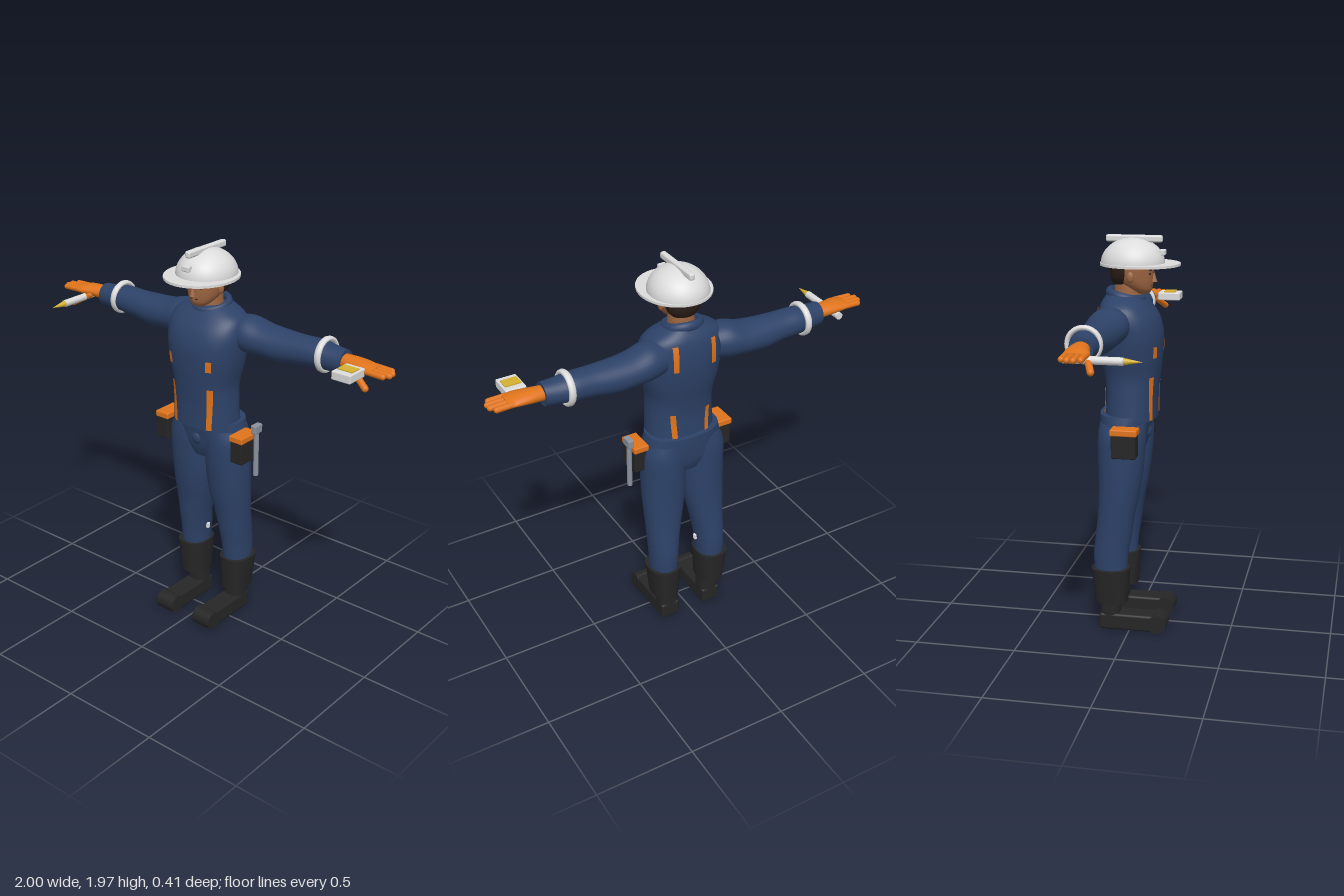
import * as THREE from 'three';
import { RoundedBoxGeometry } from 'three/addons/geometries/RoundedBoxGeometry.js';

const paint = (name, color, side = THREE.FrontSide) => {
  const m = new THREE.MeshStandardMaterial({ color, side });
  m.name = name;
  return m;
};

// Catmull-Rom resampling of cross-section rows [position, centreU, centreV, radiusU, radiusV]
function resample(rows, steps = 5) {
  const out = [];
  const at = (i) => rows[Math.min(Math.max(i, 0), rows.length - 1)];
  for (let i = 0; i < rows.length - 1; i++) {
    for (let s = 0; s < steps; s++) {
      const t = s / steps;
      out.push(rows[i].map((p1, k) => {
        const p0 = at(i - 1)[k], p2 = at(i + 1)[k], p3 = at(i + 2)[k];
        return p1 + 0.5 * t * (p2 - p0 + t * (2 * p0 - 5 * p1 + 4 * p2 - p3 + t * (3 * (p1 - p2) + p3 - p0)));
      }));
    }
  }
  out.push(rows[rows.length - 1]);
  return out;
}

// Closed body through superellipse sections, along y (u = x, v = z) or along x (u = z, v = y)
function loft(rows, { axis = 'y', e = 1, sides = 32, steps = 5 } = {}) {
  const sec = resample(rows, steps), pos = [], idx = [];
  const put = (p, u, v) => (axis === 'y' ? pos.push(u, p, v) : pos.push(p, v, u));
  const pow = (c) => Math.sign(c) * Math.abs(c) ** e;
  const ring = ([p, cu, cv, ru, rv]) => {
    const start = pos.length / 3;
    for (let j = 0; j < sides; j++) {
      const a = (j / sides) * Math.PI * 2;
      put(p, cu + ru * pow(Math.cos(a)), cv + rv * pow(Math.sin(a)));
    }
    return start;
  };
  const starts = sec.map(ring);
  for (let i = 0; i < starts.length - 1; i++) {
    for (let j = 0; j < sides; j++) {
      const k = (j + 1) % sides;
      const a = starts[i] + j, b = starts[i] + k, c = starts[i + 1] + j, d = starts[i + 1] + k;
      idx.push(a, c, b, b, c, d);
    }
  }
  [sec[0], sec[sec.length - 1]].forEach((s, end) => {
    const r = ring(s), c = pos.length / 3;
    put(s[0], s[1], s[2]);
    for (let j = 0; j < sides; j++) {
      const k = (j + 1) % sides;
      if (end) idx.push(c, r + k, r + j);
      else idx.push(c, r + j, r + k);
    }
  });
  const g = new THREE.BufferGeometry();
  g.setAttribute('position', new THREE.Float32BufferAttribute(pos, 3));
  g.setIndex(idx);
  g.computeVertexNormals();
  return g;
}

// Mirror across x = 0, keeping faces outward
function mirrored(geo) {
  const g = geo.clone().scale(-1, 1, 1);
  const ix = g.index ? g.index.array : Uint32Array.from({ length: g.attributes.position.count }, (_, i) => i);
  const out = Array.from(ix);
  for (let i = 0; i < out.length; i += 3) [out[i + 1], out[i + 2]] = [out[i + 2], out[i + 1]];
  g.setIndex(out);
  return g;
}

function capsule(a, b, r) {
  const A = new THREE.Vector3(...a), B = new THREE.Vector3(...b), d = B.clone().sub(A);
  const q = new THREE.Quaternion().setFromUnitVectors(new THREE.Vector3(0, 1, 0), d.clone().normalize());
  const mid = A.add(B).multiplyScalar(0.5);
  return new THREE.CapsuleGeometry(r, d.length(), 6, 12).applyQuaternion(q).translate(mid.x, mid.y, mid.z);
}
const box = (w, h, d, x, y, z, r = 0.006) => new RoundedBoxGeometry(w, h, d, 2, r).translate(x, y, z);
const ball = (rx, ry, rz, x, y, z) => new THREE.SphereGeometry(1, 24, 16).scale(rx, ry, rz).translate(x, y, z);

export function createModel() {
  const root = new THREE.Group();
  root.name = 'worker';
  const navy = paint('navy cloth', 0x2d4268), orange = paint('orange', 0xe0741c);
  const strapOrange = orange;
  strapOrange.side = THREE.DoubleSide;
  const black = paint('black rubber', 0x262626), white = paint('white shell', 0xdcdcdc, THREE.DoubleSide);
  const skin = paint('skin', 0x9c6541), hairDark = paint('dark hair', 0x2a1d16);
  const yellow = paint('yellow', 0xd6b030), steel = paint('steel', 0x8b929e);
  const add = (name, geo, mat) => {
    const m = new THREE.Mesh(geo, mat);
    m.name = name;
    root.add(m);
  };
  const pair = (name, geo, mat) => {
    add(name + 'Left', geo, mat);
    add(name + 'Right', mirrored(geo), mat);
  };

  // Jacket
  const torso = [
    [1.08, 0, -0.015, 0.175, 0.125], [1.2, 0, -0.01, 0.168, 0.124], [1.3, 0, -0.01, 0.166, 0.135],
    [1.4, 0, -0.015, 0.188, 0.15], [1.5, 0, -0.02, 0.203, 0.156], [1.58, 0, -0.03, 0.205, 0.143],
    [1.64, 0, -0.045, 0.182, 0.115], [1.685, 0, -0.055, 0.1, 0.08]];
  const e = 0.85;
  add('jacket', loft(torso, { e, sides: 48 }), navy);
  add('collar', new THREE.TorusGeometry(0.082, 0.017, 12, 36).rotateX(Math.PI / 2)
    .scale(1.05, 1.4, 1).rotateX(0.25).translate(0, 1.677, -0.045), navy);

  // Braces that follow the jacket surface
  const rows = resample(torso, 12);
  const jacketZ = (x, y, side) => {
    const i = Math.max(1, rows.findIndex((r) => r[0] >= y));
    const f = (y - rows[i - 1][0]) / (rows[i][0] - rows[i - 1][0]);
    const [, , cz, rx, rz] = rows[i].map((v, k) => rows[i - 1][k] + (v - rows[i - 1][k]) * f);
    return cz + side * (rz * Math.max(0, 1 - (x / rx) ** (2 / e)) ** (e / 2) + 0.007);
  };
  const strap = (y0, y1, x0, x1, side) => {
    const g = new THREE.PlaneGeometry(1, 1, 2, 10), p = g.attributes.position;
    for (let i = 0; i < p.count; i++) {
      const t = p.getY(i) + 0.5, y = y0 + (y1 - y0) * t;
      const x = x0 + (x1 - x0) * t + side * p.getX(i) * 0.026;
      p.setXYZ(i, x, y, jacketZ(x, y, side));
    }
    g.computeVertexNormals();
    return g;
  };
  pair('frontStrapLower', strap(1.085, 1.3, 0.102, 0.113, 1), strapOrange);
  pair('frontStrapUpper', strap(1.395, 1.45, 0.113, 0.118, 1), strapOrange);
  pair('backStrapLower', strap(1.09, 1.24, 0.085, 0.095, -1), strapOrange);
  pair('backStrapUpper', strap(1.5, 1.63, 0.1, 0.1, -1), strapOrange);

  // Sleeves and armbands
  pair('sleeve', loft([
    [0.14, -0.08, 1.56, 0.085, 0.08], [0.21, -0.085, 1.557, 0.1, 0.09], [0.3, -0.092, 1.545, 0.096, 0.08],
    [0.4, -0.095, 1.539, 0.088, 0.079], [0.5, -0.095, 1.545, 0.078, 0.071], [0.6, -0.098, 1.55, 0.074, 0.067],
    [0.68, -0.094, 1.548, 0.064, 0.06], [0.74, -0.09, 1.548, 0.056, 0.057]], { axis: 'x' }), navy);
  pair('armband', new THREE.TorusGeometry(0.074, 0.012, 10, 36).rotateY(Math.PI / 2)
    .scale(1.45, 1, 1.02).rotateZ(0.04).translate(0.63, 1.553, -0.102), white);

  // Gloves
  pair('glove', loft([
    [0.73, -0.088, 1.553, 0.04, 0.034], [0.8, -0.085, 1.556, 0.05, 0.031],
    [0.86, -0.077, 1.556, 0.058, 0.026], [0.91, -0.075, 1.553, 0.054, 0.017]], { axis: 'x' }), orange);
  [0.965, 0.984, 0.986, 0.97].forEach((tip, i) => {
    const z = -0.117 + i * 0.028;
    pair('finger' + (i + 1), capsule([0.88, 1.556, z], [tip, 1.553, z], 0.014), orange);
  });
  pair('thumb', capsule([0.81, 1.54, -0.045], [0.9, 1.488, -0.008], 0.016), orange);

  // Hand tools
  add('meterBody', box(0.1, 0.042, 0.12, 0.833, 1.553, 0.03), white);
  add('meterScreen', new THREE.BoxGeometry(0.078, 0.006, 0.058).translate(0.833, 1.576, 0.03), yellow);
  add('probeBody', new THREE.CylinderGeometry(0.018, 0.018, 0.265, 20).rotateX(Math.PI / 2)
    .translate(-0.837, 1.527, -0.013), white);
  add('probeTip', new THREE.ConeGeometry(0.016, 0.085, 20).rotateX(Math.PI / 2).translate(-0.837, 1.527, 0.161), yellow);

  // Trousers
  add('trouserTop', loft([[0.9, 0, -0.045, 0.1, 0.085], [0.96, 0, -0.045, 0.185, 0.108],
    [1.04, 0, -0.042, 0.2, 0.12], [1.11, 0, -0.038, 0.188, 0.127]], { e }), navy);
  pair('trouserLeg', loft([
    [0.3, 0.137, -0.095, 0.068, 0.08], [0.4, 0.135, -0.094, 0.072, 0.087], [0.5, 0.13, -0.082, 0.08, 0.09],
    [0.6, 0.122, -0.07, 0.092, 0.092], [0.7, 0.114, -0.058, 0.104, 0.1], [0.8, 0.11, -0.05, 0.11, 0.108],
    [0.9, 0.109, -0.046, 0.111, 0.115], [1.0, 0.107, -0.043, 0.112, 0.118],
    [1.07, 0.098, -0.04, 0.095, 0.112]], { e: 0.95 }), navy);
  add('flyFold', ball(0.034, 0.04, 0.03, 0, 1.01, 0.055), navy);
  pair('kneeTab', box(0.02, 0.03, 0.02, 0.058, 0.425, -0.09, 0.004), white);

  // Boots
  pair('bootShaft', loft([[0.15, 0.135, -0.093, 0.066, 0.083], [0.33, 0.14, -0.095, 0.081, 0.096]],
    { e: 0.8, steps: 2 }), black);
  pair('bootAnkle', loft([[0.02, 0.122, -0.1, 0.052, 0.05], [0.17, 0.122, -0.1, 0.052, 0.05]],
    { e: 0.7, steps: 1 }), black);
  pair('bootFoot', box(0.104, 0.084, 0.3, 0.122, 0.047, 0, 0.012), black);
  pair('bootToe', new THREE.CylinderGeometry(0.047, 0.047, 0.106, 28).rotateZ(Math.PI / 2)
    .translate(0.122, 0.047, 0.143), black);

  // Hip pouches and hammer
  pair('pouch', box(0.072, 0.12, 0.12, 0.235, 0.99, -0.005), black);
  pair('pouchLid', box(0.08, 0.032, 0.132, 0.235, 1.058, -0.005), orange);
  add('hammerHandle', new THREE.CylinderGeometry(0.013, 0.013, 0.24, 16).translate(0.288, 0.973, -0.038), steel);
  add('hammerHead', box(0.032, 0.045, 0.056, 0.288, 1.103, -0.038), steel);

  // Head
  add('neck', new THREE.CylinderGeometry(0.06, 0.068, 0.13, 24).translate(0, 1.7, -0.035), skin);
  add('face', loft([
    [1.69, 0, 0.045, 0.03, 0.026], [1.71, 0, 0.028, 0.056, 0.056], [1.74, 0, 0.006, 0.076, 0.083],
    [1.78, 0, -0.006, 0.087, 0.096], [1.83, 0, -0.008, 0.09, 0.099], [1.88, 0, -0.01, 0.08, 0.09]]), skin);
  add('hair', loft([[1.735, 0, -0.06, 0.06, 0.045], [1.77, 0, -0.058, 0.086, 0.06],
    [1.83, 0, -0.052, 0.094, 0.066], [1.87, 0, -0.05, 0.085, 0.06]]), hairDark);
  pair('ear', ball(0.012, 0.027, 0.018, 0.09, 1.775, -0.005), skin);
  add('nose', new THREE.ConeGeometry(0.016, 0.05, 12).translate(0, 1.77, 0.094), skin);
  add('mouth', box(0.042, 0.006, 0.008, 0, 1.73, 0.083, 0.002), hairDark);
  pair('eye', box(0.022, 0.008, 0.009, 0.034, 1.787, 0.08, 0.002), hairDark);
  pair('eyebrow', box(0.032, 0.006, 0.009, 0.035, 1.805, 0.083, 0.002), hairDark);

  // Helmet
  add('helmetDome', new THREE.SphereGeometry(1, 48, 20, 0, Math.PI * 2, 0, Math.PI / 2)
    .scale(0.145, 0.125, 0.155).translate(0, 1.83, -0.01), white);
  add('helmetBrim', new THREE.CylinderGeometry(1, 1, 0.012, 56).scale(0.174, 1, 0.194).translate(0, 1.83, 0.026), white);
  add('helmetCrest', box(0.03, 0.034, 0.275, 0, 1.95, -0.003, 0.01), white);
  add('helmetLamp', box(0.042, 0.028, 0.03, 0, 1.887, 0.135), white);
  return root;
}
